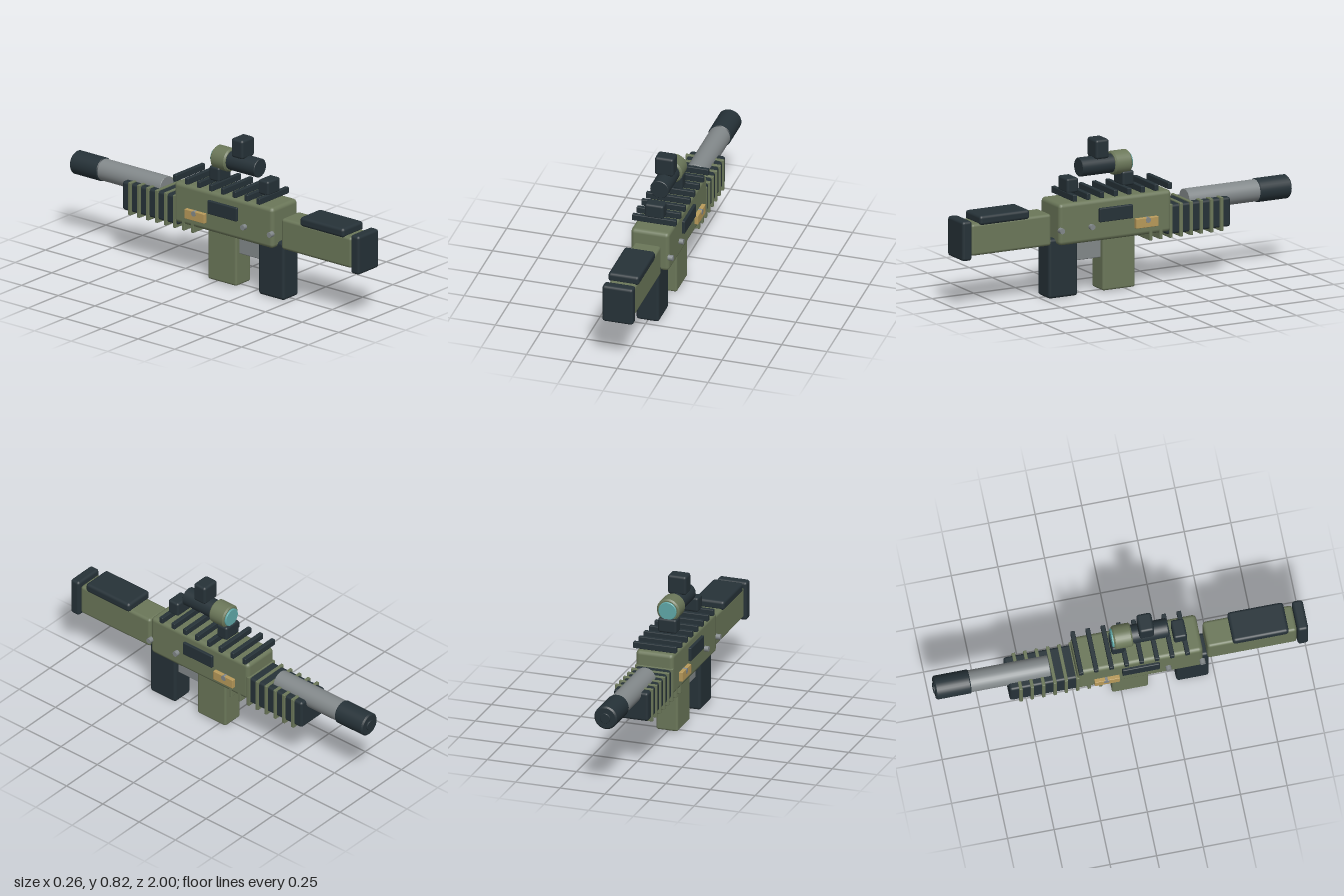
import * as THREE from 'three';
import { RoundedBoxGeometry } from 'three/addons/geometries/RoundedBoxGeometry.js';

const paint = (color) => new THREE.MeshStandardMaterial({ color });

export function createModel() {
  const model = new THREE.Group();
  const dark = paint(0x263238), olive = paint(0x6b7759), steel = paint(0x82888a);
  const brass = paint(0xb89a5a), glass = paint(0x5fa8a8);

  const add = (name, geometry, material, x, y, z) => {
    const mesh = new THREE.Mesh(geometry, material);
    mesh.name = name;
    mesh.position.set(x, y, z);
    model.add(mesh);
    return mesh;
  };

  // Box from its extents: full width centred on x, y range, z range, edge radius
  const box = (name, material, width, y0, y1, z0, z1, radius = 0.01, x = 0) => {
    const size = [width, y1 - y0, z1 - z0];
    const geometry = radius ? new RoundedBoxGeometry(...size, 2, radius) : new THREE.BoxGeometry(...size);
    return add(name, geometry, material, x, (y0 + y1) / 2, (z0 + z1) / 2);
  };

  // Solid of revolution along z, with slightly chamfered rims
  const tube = (name, material, radius, y, z0, z1, chamfer = 0.006) => {
    const h = (z1 - z0) / 2, c = chamfer;
    const rim = [[0, -h], [radius - c, -h], [radius, -h + c], [radius, h - c], [radius - c, h], [0, h]];
    // Doubled profile corners keep the rims crisp
    const points = rim.flatMap(([r, t], i) => {
      const p = new THREE.Vector2(r, t);
      return i > 0 && i < rim.length - 1 ? [p, p.clone()] : [p];
    });
    const geometry = new THREE.LatheGeometry(points, 32).rotateX(Math.PI / 2);
    return add(name, geometry, material, 0, y, (z0 + z1) / 2);
  };

  // Stock
  box('buttPlate', dark, 0.17, 0.275, 0.49, 0.942, 1, 0.015);
  box('stock', olive, 0.148, 0.295, 0.468, 0.46, 0.94, 0.016);
  box('cheekPad', dark, 0.17, 0.458, 0.51, 0.595, 0.895, 0.016);

  // Receiver, grip and magazine
  box('receiver', olive, 0.212, 0.295, 0.522, -0.245, 0.43, 0.022);
  box('grip', dark, 0.126, 0.004, 0.327, 0.295, 0.47, 0.016);
  box('magazine', olive, 0.122, 0.01, 0.33, -0.05, 0.145, 0.012);
  box('triggerGuard', steel, 0.07, 0.187, 0.31, 0.13, 0.31, 0.006);

  // Handguard with cooling fins
  box('handguard', dark, 0.192, 0.278, 0.438, -0.605, -0.22, 0.014);
  for (let i = 0; i < 8; i++) {
    const z = -0.12 - i * 0.061;
    box('handguardFin', olive, 0.212, 0.262, 0.444, z - 0.009, z + 0.009, 0.003);
  }

  // Barrel and muzzle
  tube('barrel', steel, 0.059, 0.43, -0.83, -0.378, 0.002);
  tube('muzzle', dark, 0.064, 0.43, -0.993, -0.8, 0.008);
  tube('bore', dark, 0.028, 0.43, -1, -0.96, 0.002);

  // Top rail slats
  for (let i = 0; i < 8; i++) {
    const z = -0.227 + i * 0.0815;
    box('railSlat', dark, 0.242, 0.531, 0.566, z - 0.012, z + 0.012, 0.004);
  }

  // Sight mounts and scope
  box('rearMount', dark, 0.104, 0.56, 0.64, 0.285, 0.355, 0.012);
  box('frontMount', dark, 0.104, 0.56, 0.64, -0.05, 0.02, 0.012);
  tube('scopeTube', dark, 0.051, 0.682, 0.04, 0.258, 0.003);
  tube('scopeBell', olive, 0.064, 0.682, -0.035, 0.065, 0.008);
  tube('scopeLens', glass, 0.05, 0.682, -0.044, -0.02, 0.003);
  box('scopeTurret', dark, 0.104, 0.722, 0.828, 0.1, 0.18, 0.014);

  // Side details, mirrored
  for (const side of [1, -1]) {
    box('sidePanel', dark, 0.024, 0.4, 0.475, -0.005, 0.195, 0.005, side * 0.109);
    box('brassPlate', brass, 0.024, 0.341, 0.394, -0.155, -0.02, 0.003, side * 0.115);
    for (const z of [0.424, 0.242, -0.092]) {
      const screw = new THREE.CylinderGeometry(0.015, 0.015, 0.028, 16).rotateZ(Math.PI / 2);
      add('screw', screw, steel, side * 0.115, 0.381, z);
    }
  }

  return model;
}
